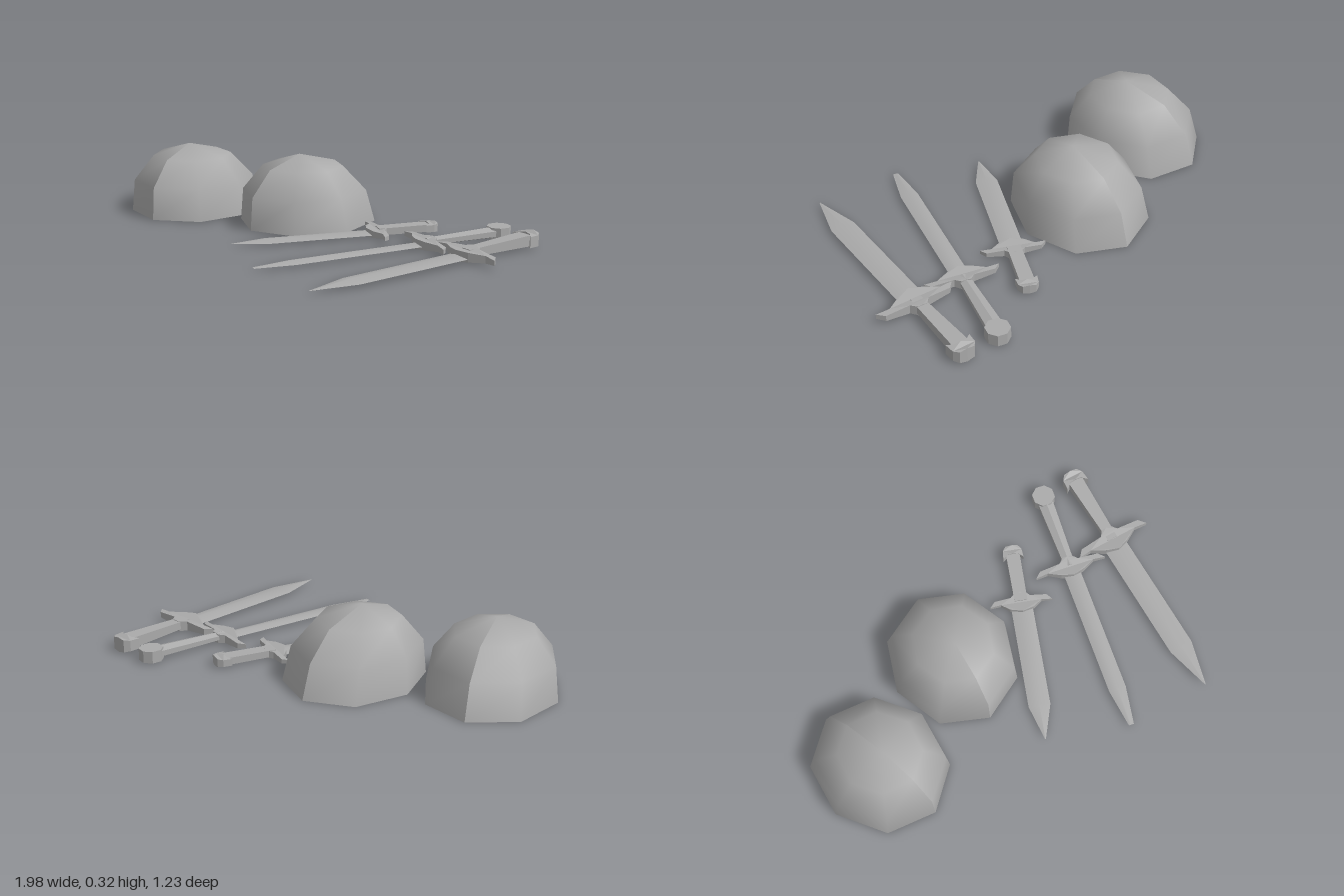
import * as THREE from 'three';

const grey = new THREE.MeshStandardMaterial({ color: 0xaaaaaa });
grey.name = 'plain grey';
const greyShell = new THREE.MeshStandardMaterial({ color: 0xaaaaaa, side: THREE.DoubleSide });
greyShell.name = 'plain grey shell';

function part(name, geometry, material = grey) {
  const mesh = new THREE.Mesh(geometry, material);
  mesh.name = name;
  return mesh;
}

function flat(geometry) {
  const g = geometry.index ? geometry.toNonIndexed() : geometry;
  g.computeVertexNormals();
  return g;
}

function buildGeometry(positions, index) {
  const g = new THREE.BufferGeometry();
  g.setAttribute('position', new THREE.Float32BufferAttribute(positions, 3));
  g.setIndex(index);
  g.computeVertexNormals();
  return g;
}

// Open eight-sided dome made of two half shells, with a seam at each end
function domeGeometry() {
  // height, half width, half length, forward shift
  const rings = [[0.005, 0.292, 0.33, 0], [0.155, 0.27, 0.3, 0.02], [0.27, 0.18, 0.19, 0.03]];
  const pos = [0, 0.325, 0.05];
  const index = [];
  for (let half = 0; half < 2; half++) {
    const base = pos.length / 3;
    for (const [y, w, l, shift] of rings) {
      for (let c = 0; c <= 4; c++) {
        const a = half * Math.PI + c * Math.PI / 4;
        pos.push(w * Math.sin(a), y, l * Math.cos(a) + shift);
      }
    }
    for (let c = 0; c < 4; c++) {
      for (let r = 0; r < 2; r++) {
        const a = base + r * 5 + c;
        index.push(a, a + 1, a + 6, a, a + 6, a + 5);
      }
      index.push(base + 10 + c, base + 11 + c, 0);
    }
  }
  return buildGeometry(pos, index);
}

// Diamond-section blade with sharp edges and softly shaded faces
function bladeGeometry(length, point, w, tipW) {
  const rows = [[0, w, 0.014], [length - point, w, 0.012], [length, tipW, 0.001]];
  const pos = [];
  const index = [];
  for (const side of [1, -1]) {
    const base = pos.length / 3;
    for (const [z, half, thick] of rows) {
      pos.push(-half, 0, z, 0, side * thick, z, half, 0, z);
    }
    for (let r = 0; r < 2; r++) {
      for (let c = 0; c < 2; c++) {
        const a = base + r * 3 + c;
        if (side > 0) index.push(a, a + 3, a + 1, a + 1, a + 3, a + 4);
        else index.push(a, a + 1, a + 3, a + 1, a + 4, a + 3);
      }
    }
  }
  return buildGeometry(pos, index);
}

// Mirrored outline laid flat; thickness may shrink towards the sides
function plateGeometry(halfOutline, thick, reach, endScale) {
  const pts = halfOutline.map(([x, y]) => new THREE.Vector2(x, y));
  const mirrored = halfOutline.filter(([x]) => x > 0).reverse()
    .map(([x, y]) => new THREE.Vector2(-x, y));
  const g = new THREE.ExtrudeGeometry(new THREE.Shape([...pts, ...mirrored]),
    { depth: thick, bevelEnabled: false });
  g.translate(0, 0, -thick / 2);
  g.rotateX(-Math.PI / 2);
  const p = g.attributes.position;
  for (let i = 0; i < p.count; i++) {
    const t = Math.min(1, Math.abs(p.getX(i)) / reach);
    p.setY(i, p.getY(i) * (1 - t * (1 - endScale)));
  }
  return flat(g);
}

function gripGeometry(length, w0, w1, sides) {
  const k = sides === 4 ? Math.SQRT2 : 1.1;
  const g = new THREE.CylinderGeometry(w1 * k, w0 * k, length, sides);
  if (sides === 4) g.rotateY(Math.PI / 4);
  g.rotateX(-Math.PI / 2);
  g.scale(1, 0.68, 1);
  g.translate(0, 0, -length / 2);
  return flat(g);
}

function sword(name, s) {
  const group = new THREE.Group();
  group.name = name;

  const blade = part('blade', bladeGeometry(s.blade, s.point, s.width, s.tip));
  blade.position.y = 0.027;
  blade.rotation.x = 0.012;

  // Cross guard with arms drooping towards the blade
  const r = s.guard;
  const guard = part('crossGuard', plateGeometry([
    [0, -0.03], [0.055, -0.01], [r * 0.66, 0.028], [r, 0.022],
    [r * 0.84, 0.055], [0.045, 0.062], [0.022, 0.09], [0, 0.09],
  ], 0.05, r, 0.45));
  guard.position.y = 0.035;
  guard.scale.z = s.guardDepth;

  const grip = part('grip', gripGeometry(s.grip - 0.04, s.gripStart, s.gripEnd, s.sides));
  grip.position.set(0, 0.038, -0.03);
  grip.rotation.x = 0.015;

  // Pommel: round knob or hooked cap
  const pommel = part('pommel', s.round
    ? flat(new THREE.CylinderGeometry(0.054, 0.054, 0.06, 8).rotateY(Math.PI / 8))
    : plateGeometry([
      [0, -0.012], [0.028, -0.014], [0.056, -0.036], [0.052, 0.012], [0.034, 0.036], [0, 0.038],
    ], 0.07, 0.056, 0.7));
  pommel.position.set(0, 0.042, -s.grip);
  if (!s.round) pommel.scale.setScalar(s.pommel);

  group.add(blade, guard, grip, pommel);
  group.position.set(s.x, 0, s.z);
  group.rotation.y = s.turn;
  group.scale.y = s.height;
  return group;
}

export function createModel() {
  const model = new THREE.Group();
  model.name = 'domesAndSwords';

  // Domes
  const shell = domeGeometry();
  const domes = [['rightDome', -0.707, -0.143, 0.097], ['leftDome', -0.132, -0.288, -0.204]];
  for (const [name, x, z, turn] of domes) {
    const dome = part(name, shell, greyShell);
    dome.position.set(x, 0, z);
    dome.rotation.y = turn;
    model.add(dome);
  }

  // Swords lying on the ground
  model.add(
    sword('shortSword', {
      x: 0.272, z: -0.244, turn: -0.605, height: 0.75, blade: 0.64, point: 0.16, width: 0.05,
      tip: 0.002, guard: 0.145, guardDepth: 0.8, grip: 0.275, gripStart: 0.03, gripEnd: 0.032,
      sides: 4, pommel: 0.85,
    }),
    sword('roundPommelSword', {
      x: 0.563, z: -0.21, turn: -0.434, height: 0.9, blade: 0.786, point: 0.18, width: 0.04,
      tip: 0.012, guard: 0.17, guardDepth: 0.8, grip: 0.4, gripStart: 0.026, gripEnd: 0.038,
      sides: 6, round: true,
    }),
    sword('longSword', {
      x: 0.805, z: -0.164, turn: -0.248, height: 1, blade: 0.79, point: 0.21, width: 0.056,
      tip: 0.002, guard: 0.182, guardDepth: 1, grip: 0.385, gripStart: 0.024, gripEnd: 0.036,
      sides: 4, pommel: 1,
    }),
  );
  return model;
}
